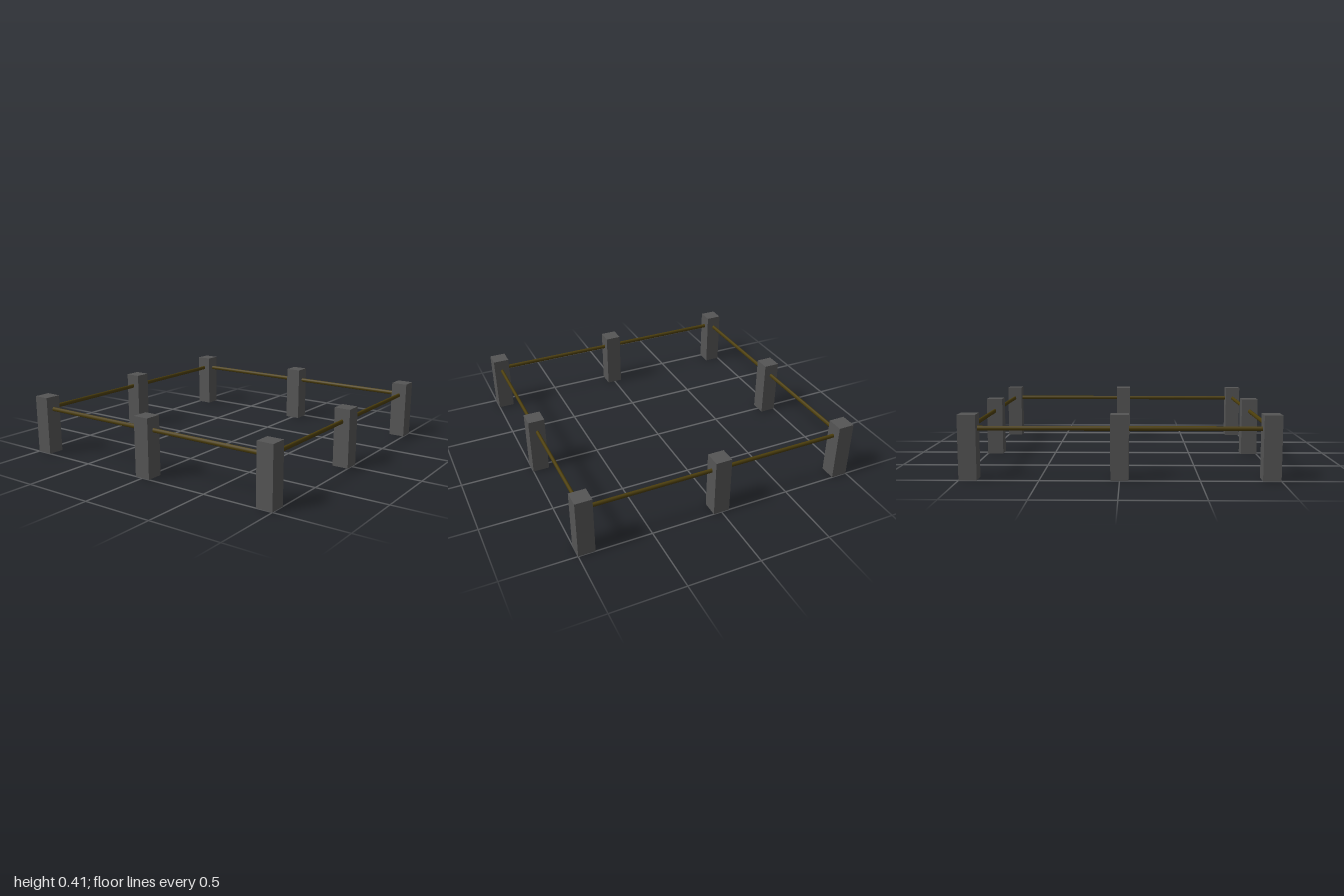
import * as THREE from 'three';

export function createModel() {
  const group = new THREE.Group();
  const stone = new THREE.MeshStandardMaterial({ color: 0x555555 });
  const wood = new THREE.MeshStandardMaterial({ color: 0x4d3f0c });
  const reach = 0.943, postWidth = 0.114, postHeight = 0.41, railY = 0.32;

  // Square posts at the corners and at the middle of each side
  const postGeometry = new THREE.BoxGeometry(postWidth, postHeight, postWidth);
  for (const i of [-1, 0, 1]) {
    for (const j of [-1, 0, 1]) {
      if (i === 0 && j === 0) continue;
      const post = new THREE.Mesh(postGeometry, stone);
      post.name = i && j ? 'cornerPost' : 'middlePost';
      post.position.set(i * reach, postHeight / 2, j * reach);
      group.add(post);
    }
  }

  // Thin round rails, slightly taller than wide, joining neighbouring posts
  const railGeometry = new THREE.CylinderGeometry(0.015, 0.015, reach - postWidth + 0.02, 12)
    .rotateZ(Math.PI / 2)
    .scale(1, 1, 0.75);
  for (let side = 0; side < 4; side++) {
    const sideGroup = new THREE.Group();
    sideGroup.name = 'railSide';
    sideGroup.rotation.y = side * Math.PI / 2;
    for (const half of [-1, 1]) {
      const rail = new THREE.Mesh(railGeometry, wood);
      rail.name = 'rail';
      rail.position.set(half * reach / 2, railY, reach);
      sideGroup.add(rail);
    }
    group.add(sideGroup);
  }
  return group;
}
